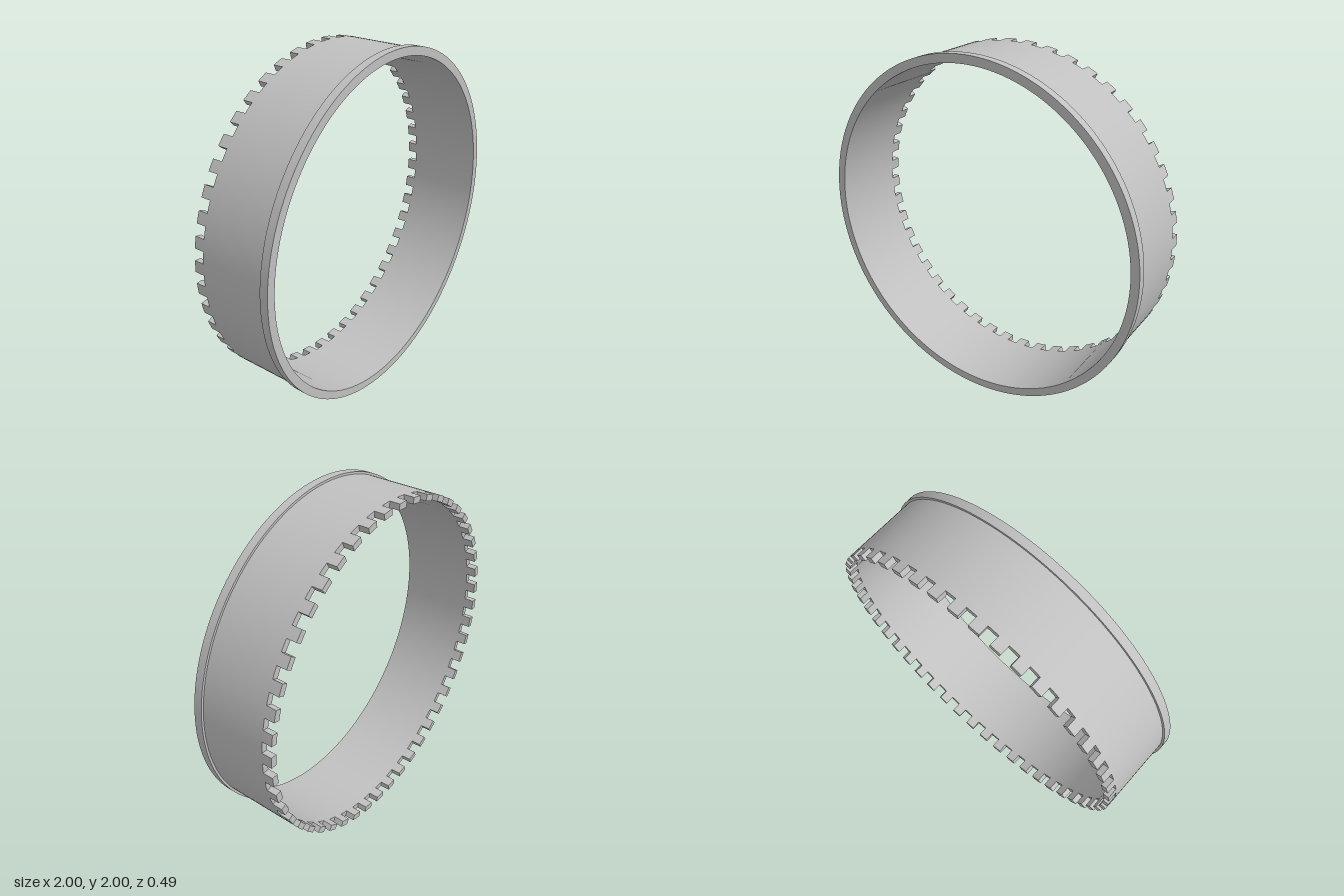
import * as THREE from 'three';
import { toCreasedNormals } from 'three/addons/utils/BufferGeometryUtils.js';

const INNER = 0.952, OUTER = 0.987, RIM = 1;
const FRONT = 0.245, RIM_BACK = 0.197, TOOTH_BASE = -0.187, BACK = -0.245;
const TEETH = 48, SEGMENTS = TEETH * 4;

export function createModel() {
  const model = new THREE.Group();
  model.name = 'toothedRing';
  const grey = new THREE.MeshStandardMaterial({ color: 0xc0c0c0 });
  grey.name = 'light grey';

  // Ring wall with the stepped rim at the front, turned as one closed profile
  const profile = [
    [INNER, TOOTH_BASE], [OUTER, TOOTH_BASE], [OUTER, RIM_BACK],
    [RIM, RIM_BACK], [RIM, FRONT], [INNER, FRONT], [INNER, TOOTH_BASE],
  ].map(([r, z]) => new THREE.Vector2(r, z));
  const wall = new THREE.LatheGeometry(profile, SEGMENTS).rotateX(Math.PI / 2);
  const ring = new THREE.Mesh(toCreasedNormals(wall, 0.5), grey);
  ring.name = 'rimmedRing';
  model.add(ring);

  // One tooth: an arc of the wall, half a pitch wide
  const pitch = (Math.PI * 2) / TEETH;
  const sector = new THREE.Shape();
  sector.absarc(0, 0, OUTER, -pitch / 4, pitch / 4, false);
  sector.absarc(0, 0, INNER, pitch / 4, -pitch / 4, true);
  sector.closePath();
  const toothGeometry = toCreasedNormals(new THREE.ExtrudeGeometry(sector, {
    depth: TOOTH_BASE - BACK, bevelEnabled: false, curveSegments: 1,
  }), 0.5);

  // Teeth around the back edge
  const teeth = new THREE.Group();
  teeth.name = 'teeth';
  for (let i = 0; i < TEETH; i++) {
    const tooth = new THREE.Mesh(toothGeometry, grey);
    tooth.name = 'tooth';
    tooth.position.z = BACK;
    tooth.rotation.z = (i + 0.5) * pitch;
    teeth.add(tooth);
  }
  model.add(teeth);

  model.position.y = RIM;
  return model;
}
